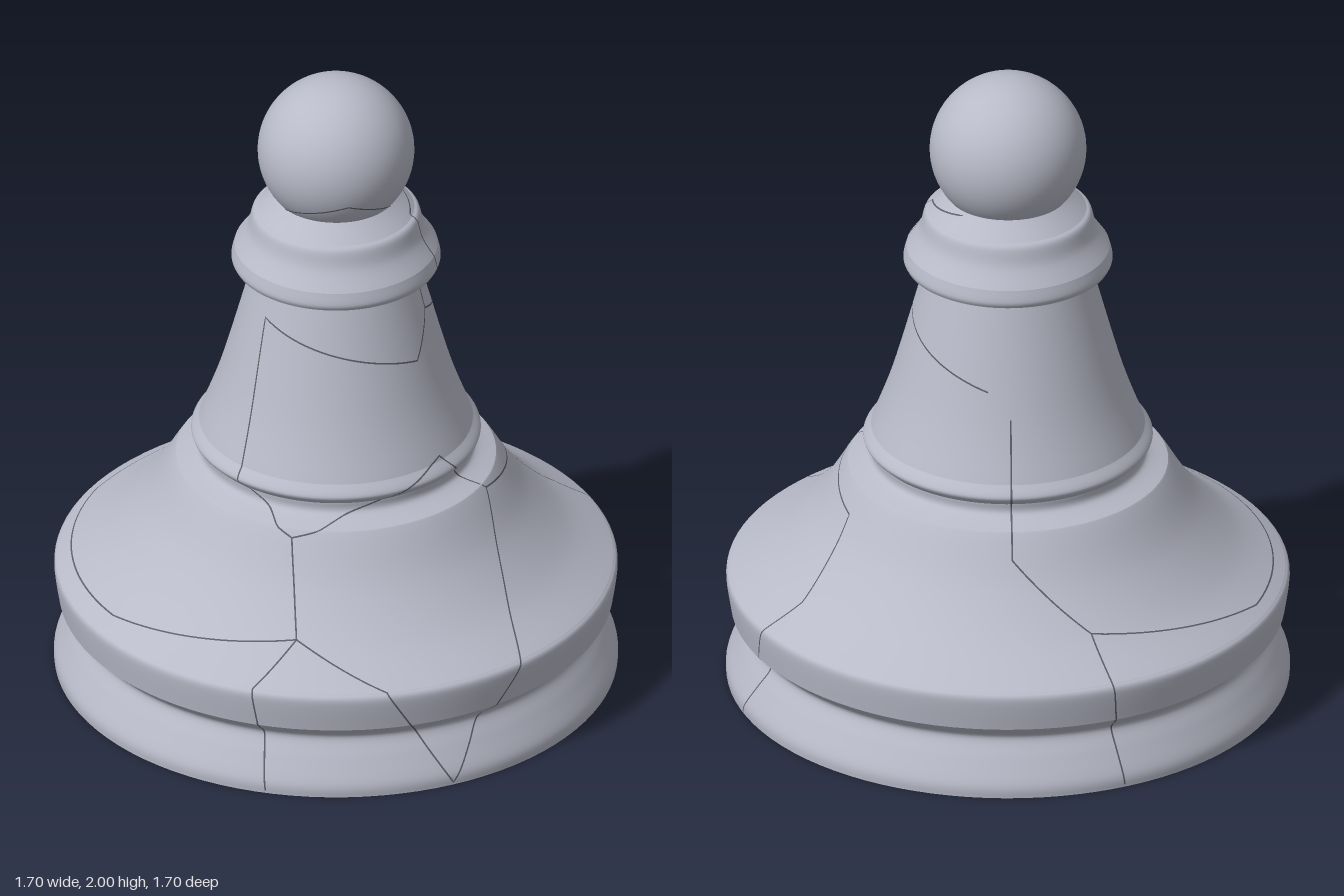
import * as THREE from 'three';

const stone = new THREE.MeshStandardMaterial({ color: 0xb8bac8 });
stone.name = 'pale grey stone';
const dark = new THREE.MeshStandardMaterial({ color: 0x5c5d66, side: THREE.DoubleSide });
dark.name = 'crack grey';

// Turned profile [radius, height]; each piece starts where the one before ends, with a hard edge between
const pieces = {
  underside: [[0.848, 0]],
  foot: [[0.846, 0.04], [0.812, 0.11], [0.783, 0.17], [0.81, 0.203]],
  footGroove: [[0.834, 0.225]],
  rim: [[0.848, 0.325], [0.835, 0.35]],
  skirt: [[0.70, 0.438], [0.58, 0.56], [0.497, 0.69], [0.482, 0.712]],
  ledge: [[0.42, 0.738], [0.415, 0.772]],
  bead: [[0.436, 0.80], [0.412, 0.835]],
  stem: [[0.345, 1.02], [0.246, 1.381]],
  collarUnderside: [[0.308, 1.381]],
  collarEdge: [[0.315, 1.40], [0.306, 1.438]],
  collar: [[0.268, 1.495], [0.252, 1.55], [0.236, 1.563]],
  neck: [[0.195, 1.60], [0.17, 1.625]],
};
const headY = 1.764, headR = 0.236;

const profiles = {};
let start = [0, 0];
for (const [name, points] of Object.entries(pieces)) {
  const v = [start, ...points].map(([r, y]) => new THREE.Vector2(r, y));
  profiles[name] = v.length < 3 ? v : new THREE.SplineCurve(v).getPoints(v.length * 5);
  start = points[points.length - 1];
}
const outline = Object.values(profiles).flat();

// Outer radius of the pawn at a given height
function radiusAt(y) {
  if (y > 1.605) return Math.sqrt(headR ** 2 - (y - headY) ** 2);
  const i = outline.findIndex((b, k) => k > 0 && b.y > outline[k - 1].y && y <= b.y);
  const a = outline[i - 1], b = outline[i];
  return a.x + (b.x - a.x) * (y - a.y) / (b.y - a.y);
}

function onSurface(deg, y) {
  const a = THREE.MathUtils.degToRad(deg), r = radiusAt(y) + 0.002;
  return new THREE.Vector3(Math.sin(a) * r, y, Math.cos(a) * r);
}

// Main cracks as [degrees from +z towards +x, height]
const cracks = {
  frontCrack: [[-52, 0.79], [-25, 0.69], [-19.5, 0.45], [-27, 0.35], [-24, 0.01]],
  frontFork: [[-19.5, 0.45], [1, 0.35], [15, 0.01], [32, 0.35], [57, 0.70], [40, 0.85], [-25, 0.69]],
  leftCrack: [[57, 0.70], [101, 0.64], [107, 0.42], [96, 0.01]],
  backCrack: [[167, 1.02], [167, 0.64], [187, 0.45], [190, 0.01]],
  rightCrack: [[187, 0.45], [234, 0.37], [292, 0.38], [340.5, 0.45]],
  stemCrack: [[-52, 0.79], [-60, 1.28], [42, 1.14], [63, 1.26], [155, 1.10]],
  collarCrack: [[63, 1.26], [66, 1.57], [128, 1.61]],
  headCrack: [[-70, 1.61], [0, 1.69], [60, 1.61]],
};

// A hairline ribbon hugging the turned surface
function crackGeometry(path) {
  const samples = [];
  for (let i = 1; i < path.length; i++) {
    const [a0, y0] = path[i - 1], [a1, y1] = path[i];
    const n = Math.ceil(Math.abs(a1 - a0) / 2.5 + Math.abs(y1 - y0) / 0.012);
    for (let k = i > 1 ? 1 : 0; k <= n; k++) samples.push([a0 + (a1 - a0) * k / n, y0 + (y1 - y0) * k / n]);
  }
  const centre = samples.map(([a, y]) => onSurface(a, y));
  const corners = [], index = [];
  centre.forEach((p, i) => {
    const [a, y] = samples[i];
    const along = centre[Math.min(i + 1, centre.length - 1)].clone().sub(centre[Math.max(i - 1, 0)]);
    const around = onSurface(a + 0.5, y).sub(onSurface(a - 0.5, y));
    const up = onSurface(a, y + 0.003).sub(onSurface(a, y - 0.003));
    const side = around.cross(up).cross(along).setLength(0.0025);
    corners.push(p.clone().add(side), p.clone().sub(side));
    const c = 2 * i;
    if (i) index.push(c - 2, c - 1, c, c - 1, c + 1, c);
  });
  const geometry = new THREE.BufferGeometry().setFromPoints(corners);
  geometry.setIndex(index);
  geometry.computeVertexNormals();
  return geometry;
}

export function createModel() {
  const model = new THREE.Group();
  model.name = 'crackedPawn';
  const add = (name, geometry, material) => {
    const mesh = new THREE.Mesh(geometry, material);
    mesh.name = name;
    model.add(mesh);
    return mesh;
  };

  // Turned body, from the underside to the neck
  for (const [name, points] of Object.entries(profiles)) add(name, new THREE.LatheGeometry(points, 96), stone);

  // Ball head
  add('head', new THREE.SphereGeometry(headR, 64, 40), stone).position.y = headY;

  // Fracture lines
  for (const [name, path] of Object.entries(cracks)) add(name, crackGeometry(path), dark);
  return model;
}
